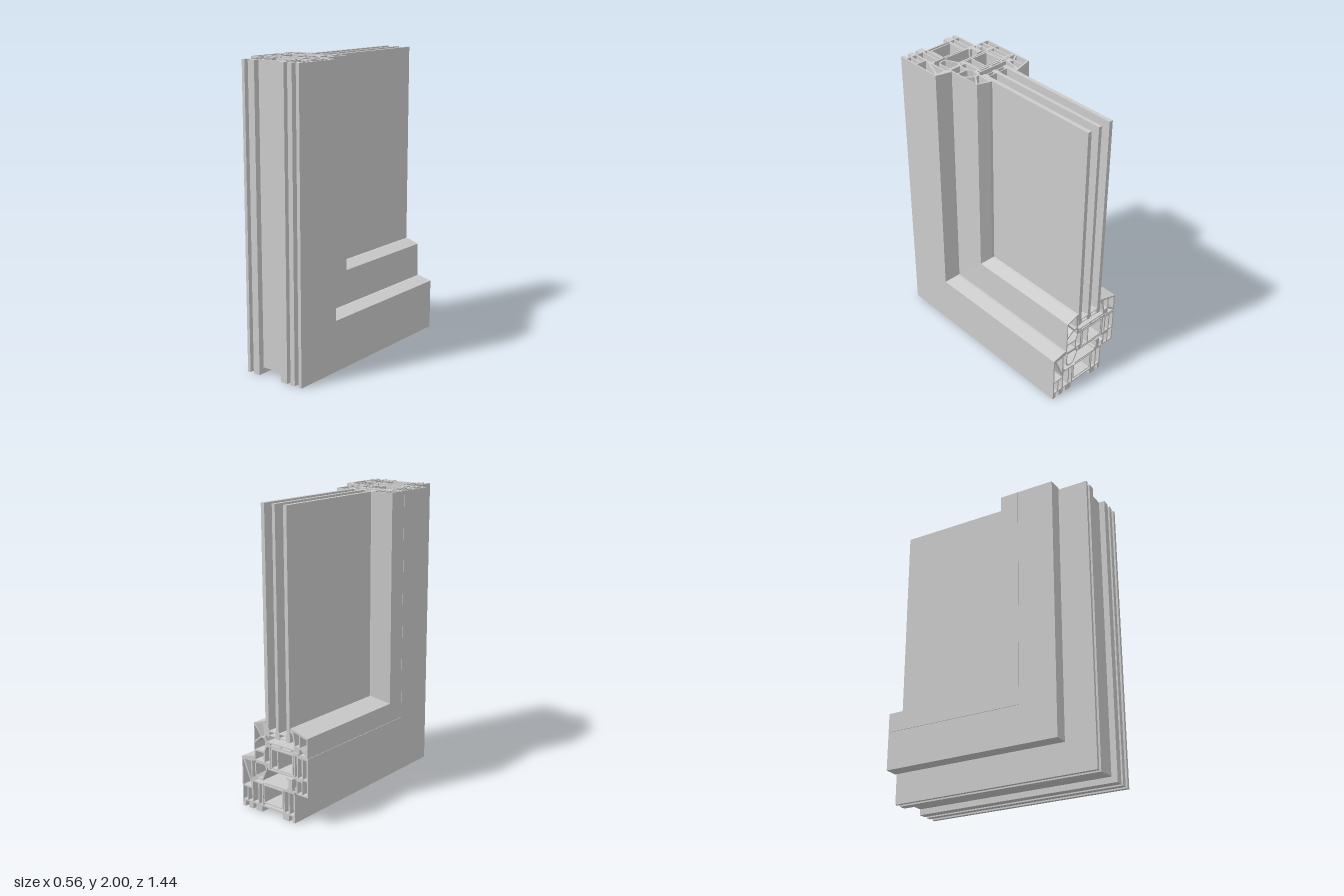
import * as THREE from 'three';

const EDGE = 0.72; // outer edge of the frame in z
const TOP = 2;
const grey = new THREE.MeshStandardMaterial({ color: 0xcccccc, side: THREE.DoubleSide });

// Corner list of a rectangle in the (x, z) section
const rect = (x0, x1, z0, z1) => [[x0, z0], [x1, z0], [x1, z1], [x0, z1]];
const toPath = (pts, Type) => new Type(pts.map(([x, z]) => new THREE.Vector2(x, EDGE - z)));

// Sweep a section up the jamb and along the sill, mitred at the corner
function sweep(name, outline, holes = []) {
  const shape = toPath(outline, THREE.Shape);
  shape.holes = holes.map((h) => toPath(h, THREE.Path));
  const geo = new THREE.ExtrudeGeometry(shape, { depth: 2, steps: 2, bevelEnabled: false });
  const p = geo.attributes.position;
  for (let i = 0; i < p.count; i++) {
    const d = p.getY(i);
    const t = Math.round(p.getZ(i)); // 0 sill end, 1 mitre, 2 jamb top
    p.setXYZ(i, p.getX(i), t === 2 ? TOP : d, t === 0 ? -EDGE : EDGE - d);
  }
  geo.computeVertexNormals();
  const mesh = new THREE.Mesh(geo, grey);
  mesh.name = name;
  return mesh;
}

// Hollow rectangular tube section
const tube = (name, x0, x1, z0, z1, w) =>
  sweep(name, rect(x0, x1, z0, z1), [rect(x0 + w, x1 - w, z0 + w, z1 - w)]);

export function createModel() {
  const model = new THREE.Group();
  model.name = 'windowCorner';

  // Fixed outer frame: feet along the outer edge, chambers and a raised stop
  const feet = [[-0.17, -0.148], [-0.12, -0.07], [0.11, 0.163], [0.19, 0.225], [0.256, 0.28]];
  const frameOutline = [
    [-0.17, 0.51], [0.075, 0.51], [0.09, 0.52], [0.17, 0.52], [0.19, 0.5], [0.19, 0.385],
    [0.168, 0.38], [0.168, 0.352], [0.185, 0.352], [0.28, 0.375],
  ];
  for (const [a, b] of [...feet].reverse()) {
    if (b < 0.28) frameOutline.push([b, 0.68]);
    frameOutline.push([b, EDGE], [a, EDGE]);
    if (a > -0.17) frameOutline.push([a, 0.68]);
  }
  const frame = new THREE.Group();
  frame.name = 'outerFrame';
  frame.add(sweep('frameProfile', frameOutline, [
    rect(-0.16, -0.127, 0.525, 0.67),
    rect(-0.117, -0.085, 0.525, 0.67),
    rect(-0.075, 0.1, 0.52, 0.67),
    rect(0.11, 0.132, 0.53, 0.67),
    rect(0.142, 0.187, 0.53, 0.67),
    rect(0.197, 0.23, 0.58, 0.67),
    rect(0.24, 0.271, 0.58, 0.67),
    [[0.2, 0.39], [0.255, 0.39], [0.2, 0.53]],
    [[0.271, 0.39], [0.271, 0.57], [0.2, 0.57], [0.2, 0.555]],
  ]));
  frame.add(tube('frameReinforcement', -0.07, 0.095, 0.525, 0.655, 0.008));
  model.add(frame);

  // Opening sash: flap on the left, glazing rebate, sloping shoulders
  const sash = new THREE.Group();
  sash.name = 'sash';
  sash.add(sweep('sashProfile', [
    [-0.28, 0.262], [-0.2, 0.262], [-0.2, 0.245], [-0.06, 0.245], [0.05, 0.245], [0.068, 0.2],
    [0.068, 0.09], [0.085, 0.093], [0.165, 0.12], [0.17, 0.36], [0.17, 0.38],
    [0.055, 0.38], [0.055, 0.415], [-0.17, 0.415], [-0.185, 0.43], [-0.185, 0.52], [-0.28, 0.52],
  ], [
    rect(-0.27, -0.24, 0.275, 0.405),
    rect(-0.23, -0.2, 0.275, 0.405),
    rect(-0.27, -0.235, 0.415, 0.51),
    rect(-0.225, -0.195, 0.43, 0.51),
    rect(-0.19, -0.175, 0.265, 0.405),
    rect(-0.165, 0.03, 0.257, 0.405),
    [[0.04, 0.262], [0.06, 0.262], [0.078, 0.3], [0.078, 0.37], [0.04, 0.37]],
    [[0.088, 0.105], [0.155, 0.127], [0.1, 0.2], [0.078, 0.2]],
    [[0.16, 0.135], [0.16, 0.24], [0.112, 0.2]],
    [[0.078, 0.21], [0.105, 0.21], [0.16, 0.255], [0.16, 0.3], [0.088, 0.3], [0.07, 0.262]],
    rect(0.088, 0.16, 0.31, 0.37),
  ]));
  // Steel core with an inner web
  sash.add(tube('sashReinforcement', -0.16, 0.025, 0.262, 0.4, 0.008));
  sash.add(sweep('reinforcementWeb', rect(-0.036, -0.028, 0.27, 0.392)));
  model.add(sash);

  // Clip-on glazing bead on the left side
  model.add(sweep('glazingBead', [
    [-0.28, 0.13], [-0.145, 0.09], [-0.137, 0.095], [-0.137, 0.12], [-0.155, 0.13],
    [-0.17, 0.2], [-0.17, 0.24], [-0.205, 0.24], [-0.205, 0.26], [-0.28, 0.26],
  ], [
    [[-0.27, 0.14], [-0.22, 0.126], [-0.22, 0.2], [-0.27, 0.235]],
    [[-0.21, 0.123], [-0.165, 0.11], [-0.18, 0.2], [-0.21, 0.2]],
    [[-0.27, 0.25], [-0.215, 0.21], [-0.215, 0.25]],
  ]));

  // Floor of the glazing rebate and glass packer
  model.add(sweep('rebateFloor', rect(-0.18, 0.06, 0.225, 0.235)));
  for (const x of [-0.15, -0.06, 0.03]) model.add(sweep('rebateRib', rect(x, x + 0.01, 0.235, 0.245)));

  // Seals: hollow stop seal, centre seal and flap seal
  model.add(sweep('stopSeal', [
    [0.08, 0.38], [0.155, 0.38], [0.165, 0.4], [0.165, 0.48], [0.14, 0.5], [0.1, 0.5], [0.06, 0.415], [0.06, 0.4],
  ], [[[0.085, 0.39], [0.15, 0.39], [0.156, 0.405], [0.156, 0.475], [0.138, 0.49], [0.106, 0.49], [0.07, 0.413]]]));
  model.add(sweep('frameSeal', [[0.165, 0.36], [0.19, 0.36], [0.19, 0.38], [0.175, 0.39]]));
  model.add(sweep('centreSeal', [
    [-0.15, 0.43], [-0.105, 0.43], [-0.105, 0.44], [-0.12, 0.44], [-0.12, 0.495],
    [-0.105, 0.495], [-0.105, 0.51], [-0.15, 0.51],
  ]));
  model.add(sweep('flapSeal', [[-0.195, 0.46], [-0.172, 0.475], [-0.172, 0.51], [-0.195, 0.51]]));

  // Triple glazing with spacers between the panes
  const glazing = new THREE.Group();
  glazing.name = 'glazing';
  for (const [a, b] of [[-0.136, -0.11], [-0.045, -0.022], [0.039, 0.066]]) {
    const pane = new THREE.Mesh(new THREE.BoxGeometry(b - a, TOP - 0.53, EDGE + 0.19), grey);
    pane.position.set((a + b) / 2, (TOP + 0.53) / 2, (0.19 - EDGE) / 2);
    pane.name = 'glassPane';
    glazing.add(pane);
  }
  glazing.add(tube('spacer', -0.11, -0.045, 0.148, 0.182, 0.006));
  glazing.add(tube('spacer', -0.022, 0.039, 0.148, 0.182, 0.006));
  model.add(glazing);

  return model;
}
